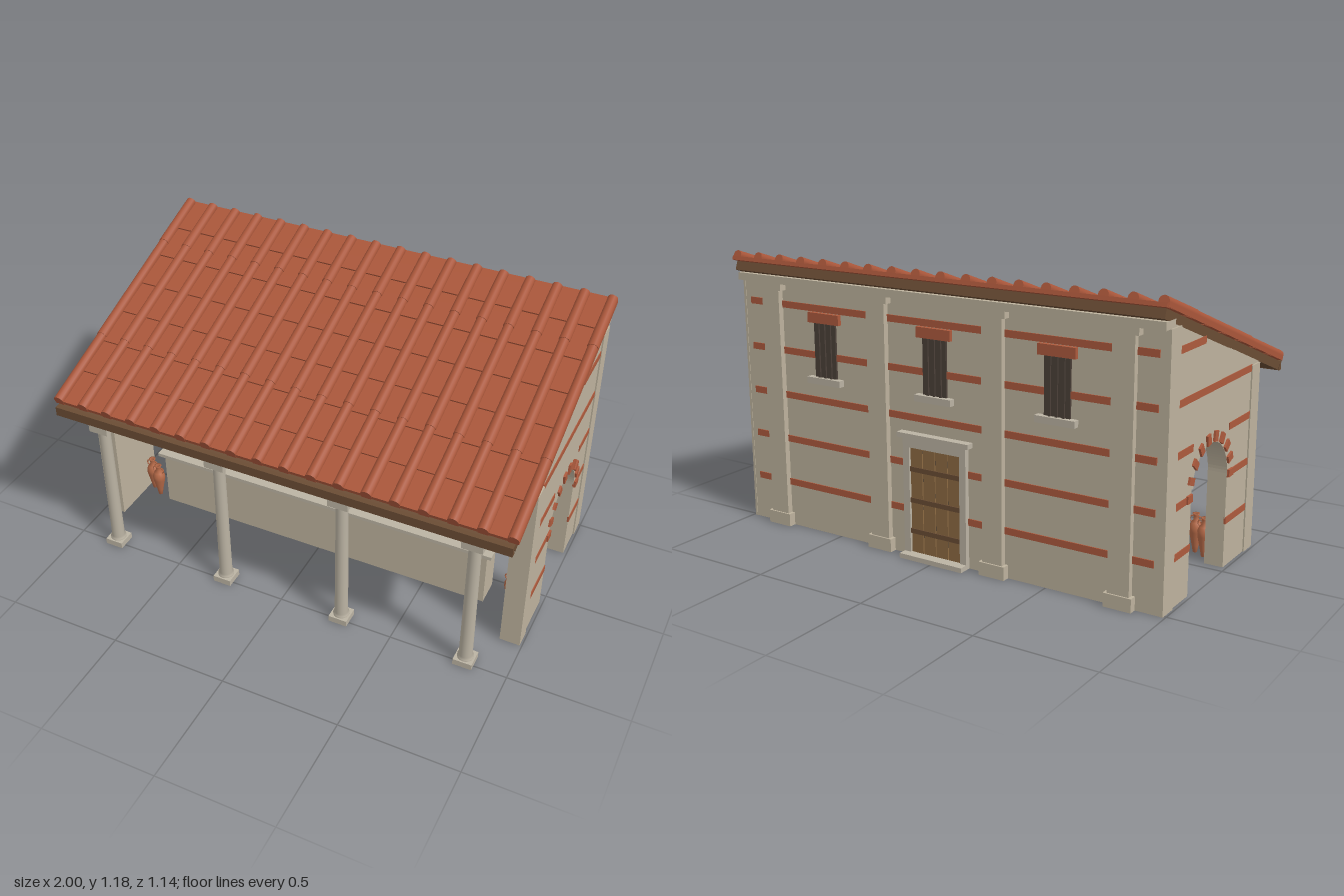
import * as THREE from 'three';

const mat = (name, color, side = THREE.FrontSide) => {
  const m = new THREE.MeshStandardMaterial({ color, side });
  m.name = name;
  return m;
};

export function createModel() {
  const M = {
    plaster: mat('plaster', 0xbdb29d),
    stone: mat('pale stone', 0xbbb3a3),
    brick: mat('brick', 0xad5a3d),
    tile: mat('roof tile', 0xa9563a),
    beam: mat('dark timber', 0x6a4c34),
    red: mat('wall red', 0xab362b),
    ochre: mat('ochre trim', 0x94794d),
    door: mat('door wood', 0x8c6a42),
    dark: mat('dark iron', 0x4b4038),
    clay: mat('clay', 0xb66a48, THREE.DoubleSide),
  };
  const root = new THREE.Group();
  root.name = 'tavern';

  const add = (name, geo, m, parent = root) => {
    const mesh = new THREE.Mesh(geo, m);
    mesh.name = name;
    parent.add(mesh);
    return mesh;
  };
  // box given by its extents
  const box = (name, m, x0, x1, y0, y1, z0, z1, parent = root) => {
    const b = add(name, new THREE.BoxGeometry(x1 - x0, y1 - y0, z1 - z0), m, parent);
    b.position.set((x0 + x1) / 2, (y0 + y1) / 2, (z0 + z1) / 2);
    return b;
  };
  const group = (name) => {
    const g = new THREE.Group();
    g.name = name;
    root.add(g);
    return g;
  };

  // side walls with arched doorway
  const archZ = -0.125, archY = 0.39, archR = 0.165;
  const s = new THREE.Shape();
  s.moveTo(-0.51, 0);
  s.lineTo(archZ - archR, 0);
  s.lineTo(archZ - archR, archY);
  s.absarc(archZ, archY, archR, Math.PI, 0, true);
  s.lineTo(archZ + archR, 0);
  s.lineTo(0.315, 0);
  s.lineTo(0.315, 0.784);
  s.lineTo(-0.51, 1.084);
  const wallGeo = new THREE.ExtrudeGeometry(s, { depth: 0.08, bevelEnabled: false, curveSegments: 20 });
  wallGeo.rotateY(-Math.PI / 2);
  const bandYs = [0.195, 0.388, 0.58, 0.771, 0.966];

  for (const side of [1, -1]) {
    const g = group(side > 0 ? 'leftSideWall' : 'rightSideWall');
    add('wall', wallGeo, M.plaster, g).position.x = side > 0 ? 0.985 : -0.905;
    const plate = (name, m, y0, y1, z0, z1, t) =>
      box(name, m, Math.min(side * 0.98, side * t), Math.max(side * 0.98, side * t), y0, y1, z0, z1, g);
    plate('frontPilaster', M.plaster, 0, 0.78, 0.24, 0.317, 0.991);
    plate('backPilaster', M.plaster, 0, 1.055, -0.512, -0.43, 0.991);
    // brick courses, broken at the arch and under the roof
    bandYs.forEach((y, i) => {
      const a = y - 0.014, b = y + 0.014;
      if (i < 3) {
        plate('brickCourse', M.brick, a, b, archZ + archR, 0.24, 0.988);
        plate('brickCourse', M.brick, a, b, -0.43, archZ - archR, 0.988);
      } else plate('brickCourse', M.brick, a, b, -0.43, i === 3 ? 0.24 : -0.212, 0.988);
    });
    // arch bricks
    for (let i = 0; i < 10; i++) {
      const t = (i * Math.PI) / 9;
      const v = add('archBrick', new THREE.BoxGeometry(0.014, 0.03, 0.042), M.brick, g);
      v.position.set(side * 0.987, archY + Math.sin(t) * 0.188, archZ + Math.cos(t) * 0.188);
      v.rotation.x = -t;
    }
  }

  // back wall, painted inside
  box('backWall', M.plaster, -0.95, 0.95, 0, 1.05, -0.51, -0.43);
  box('redDado', M.red, -0.905, 0.905, 0, 0.32, -0.432, -0.426);
  box('dadoTrim', M.ochre, -0.905, 0.905, 0.32, 0.336, -0.432, -0.424);
  for (const y of bandYs) {
    const parts = y < 0.5 ? [[-0.95, -0.15], [0.15, 0.95]] : [[-0.95, 0.95]];
    for (const [a, b] of parts) box('backBrickCourse', M.brick, a, b, y - 0.014, y + 0.014, -0.515, -0.508);
  }
  box('backCornice', M.plaster, -0.985, 0.985, 1.054, 1.085, -0.546, -0.47);
  const bays = [-0.82, -0.273, 0.273, 0.82];
  for (const x of bays) {
    box('backPilaster', M.plaster, x - 0.045, x + 0.045, 0, 1.06, -0.535, -0.5);
    box('backPilasterBase', M.plaster, x - 0.058, x + 0.058, 0, 0.055, -0.542, -0.5);
    box('backPilasterCapital', M.plaster, x - 0.062, x + 0.062, 1.025, 1.056, -0.541, -0.5);
  }
  // barred windows
  for (const x of [-0.547, 0, 0.547]) {
    const g = group('window');
    box('opening', M.dark, x - 0.055, x + 0.055, 0.68, 0.91, -0.519, -0.51, g);
    for (const dx of [-0.03, 0, 0.03]) box('bar', M.dark, x + dx - 0.005, x + dx + 0.005, 0.68, 0.91, -0.526, -0.518, g);
    box('lintel', M.brick, x - 0.08, x + 0.08, 0.908, 0.95, -0.528, -0.505, g);
    box('sill', M.stone, x - 0.085, x + 0.085, 0.655, 0.682, -0.538, -0.505, g);
  }
  // back door
  const door = group('backDoor');
  for (let i = 0; i < 4; i++) {
    const x = -0.12 + i * 0.06;
    box('plank', M.door, x + 0.002, x + 0.058, 0.02, 0.46, -0.524, -0.505, door);
  }
  box('doorGap', M.dark, -0.12, 0.12, 0.02, 0.46, -0.519, -0.505, door);
  for (const y of [0.11, 0.24, 0.37]) box('strap', M.beam, -0.12, 0.12, y - 0.01, y + 0.01, -0.528, -0.515, door);
  for (const k of [-1, 1]) box('jamb', M.stone, k * 0.135 - 0.015, k * 0.135 + 0.015, 0, 0.46, -0.532, -0.505, door);
  box('doorLintel', M.stone, -0.15, 0.15, 0.46, 0.5, -0.532, -0.505, door);
  box('doorCap', M.stone, -0.17, 0.17, 0.5, 0.52, -0.545, -0.505, door);
  box('threshold', M.stone, -0.15, 0.15, 0, 0.02, -0.568, -0.505, door);

  // porch columns and beam
  const shaft = new THREE.LatheGeometry(
    [[0.034, 0.025], [0.034, 0.035], [0.028, 0.042], [0.025, 0.61], [0.032, 0.625]].map((p) => new THREE.Vector2(...p)), 16);
  for (const x of bays) {
    const g = group('column');
    add('shaft', shaft, M.stone, g).position.set(x, 0, 0.485);
    box('base', M.stone, x - 0.04, x + 0.04, 0, 0.027, 0.445, 0.525, g);
    box('capital', M.stone, x - 0.043, x + 0.043, 0.625, 0.663, 0.442, 0.528, g);
  }
  box('porchBeam', M.stone, -0.905, 0.905, 0.662, 0.715, 0.447, 0.521);

  // sloping roof: deck, overlapping pan tiles, rounded cover tiles
  const roof = group('roof');
  roof.position.y = 0.896;
  roof.rotation.x = 0.3456;
  box('deck', M.beam, -0.985, 0.985, 0, 0.037, -0.595, 0.574, roof);
  const rows = 7, pitch = 1.176 / rows;
  for (let i = 0; i < rows; i++) {
    const z = -0.61 + (i + 0.5) * pitch;
    const pan = box('panTileRow', M.tile, -0.995, 0.995, 0.037, 0.053, z - pitch / 2 - 0.006, z + pitch / 2, roof);
    pan.position.y += 0.004;
    pan.rotation.x = -0.04;
  }
  const joints = [-0.609, -0.345, 0.21, 0.567];
  for (let i = 0; i < 18; i++) {
    const x = -0.977 + (i * 1.954) / 17;
    for (let j = 0; j < 3; j++) {
      const len = joints[j + 1] - joints[j];
      const geo = new THREE.CylinderGeometry(0.0235, 0.021, len, 8, 1, false, Math.PI / 2, Math.PI);
      geo.rotateX(Math.PI / 2);
      add('coverTile', geo, M.tile, roof).position.set(x, 0.059, joints[j] + len / 2);
      box('coverTileSides', M.tile, x - 0.021, x + 0.021, 0.04, 0.06, joints[j], joints[j + 1], roof);
    }
  }
  box('fascia', M.beam, -0.985, 0.985, 0.697, 0.737, 0.55, 0.571);

  // serving counter
  box('counterBody', M.plaster, -0.77, 0.77, 0, 0.257, 0.03, 0.145);
  box('counterTop', M.stone, -0.793, 0.793, 0.257, 0.273, 0.0125, 0.163);

  // shelf
  box('shelf', M.beam, -0.71, 0.71, 0.436, 0.452, -0.43, -0.335);
  for (const x of [-0.63, 0, 0.63]) box('shelfBracket', M.beam, x - 0.01, x + 0.01, 0.39, 0.437, -0.43, -0.37);

  // pottery turned from a profile of radius and height
  const lathe = (pts) => new THREE.LatheGeometry(pts.map(([r, y]) => new THREE.Vector2(r, y)), 14);
  const jug = lathe([[0, 0], [0.01, 0], [0.018, 0.018], [0.017, 0.028], [0.008, 0.038], [0.014, 0.05], [0.008, 0.048]]);
  const bowl = lathe([[0, 0], [0.01, 0], [0.02, 0.012], [0.016, 0.012], [0, 0.004]]);
  const amphora = lathe([[0, 0], [0.009, 0.002], [0.014, 0.03], [0.027, 0.09], [0.028, 0.11], [0.021, 0.13],
    [0.011, 0.14], [0.011, 0.16], [0.016, 0.168], [0.009, 0.165]]);
  const jugAt = (x, y, z, k) => {
    const p = add('jug', jug, M.clay);
    p.position.set(x, y, z);
    p.scale.setScalar(k);
  };
  for (let i = 0; i < 9; i++) jugAt(-0.635 + i * 0.159, 0.452, -0.38, [0.85, 1.05, 1.1][i % 3]);
  for (const x of [-0.635, -0.58, 0.355, 0.408]) jugAt(x, 0.273, 0.09, 0.9);
  for (const x of [-0.14, -0.1, -0.055]) add('bowl', bowl, M.clay).position.set(x, 0.273, 0.09);
  for (const [x, z] of [[-0.875, 0.1], [-0.825, 0.13], [0.87, 0.1]]) {
    const g = group('amphora');
    g.position.set(x, 0, z);
    add('body', amphora, M.clay, g);
    for (const k of [-1, 1]) {
      const h = add('handle', new THREE.TorusGeometry(0.014, 0.003, 5, 10), M.clay, g);
      h.position.set(k * 0.014, 0.142, 0);
    }
  }

  // baskets of food
  [[-0.36, M.ochre], [0.13, M.red], [0.575, M.ochre]].forEach(([x, filling]) => {
    const g = group('basket');
    g.position.set(x, 0.273, 0.09);
    add('weave', new THREE.CylinderGeometry(0.037, 0.032, 0.04, 12), M.door, g).position.y = 0.02;
    const rim = add('rim', new THREE.TorusGeometry(0.037, 0.004, 6, 14), M.beam, g);
    rim.rotation.x = Math.PI / 2;
    rim.position.y = 0.04;
    const food = add('food', new THREE.SphereGeometry(0.034, 12, 5, 0, Math.PI * 2, 0, Math.PI / 2), filling, g);
    food.scale.y = 0.35;
    food.position.y = 0.04;
  });

  return root;
}
